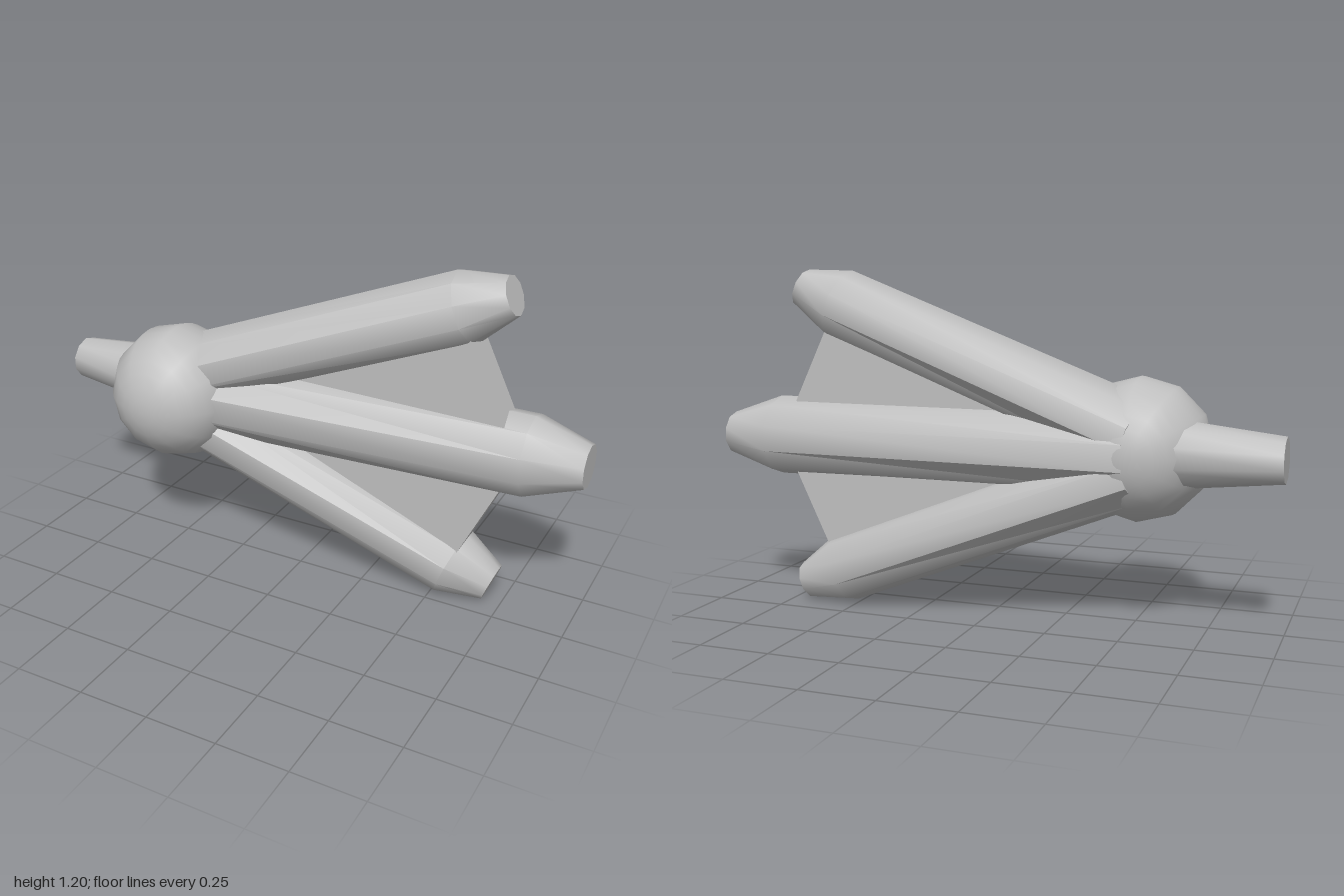
import * as THREE from 'three';
import { toCreasedNormals } from 'three/addons/utils/BufferGeometryUtils.js';

const MID = 0.603; // height of the symmetry plane

// Ten-sided tapered limb through stations [x, y, z, radiusInPlane, radiusZ], listed from base to tip
function limb(stations) {
  const n = stations.length - 1;
  const geo = new THREE.CylinderGeometry(1, 1, n, 10, n);
  const first = stations[0], last = stations[n];
  const dir = new THREE.Vector2(last[0] - first[0], last[1] - first[1]).normalize();
  const pos = geo.attributes.position;
  for (let i = 0; i < pos.count; i++) {
    const [x, y, z, r, rz] = stations[Math.round(pos.getY(i) + n / 2)];
    const up = pos.getZ(i) * r, side = pos.getX(i) * rz;
    pos.setXYZ(i, x - dir.y * up, y + dir.x * up, z + side);
  }
  return toCreasedNormals(geo, 0.7);
}

export function createModel() {
  const group = new THREE.Group();
  const grey = new THREE.MeshStandardMaterial({ color: 0xbfbfbf });
  grey.name = 'grey';
  const add = (name, geo) => {
    const mesh = new THREE.Mesh(geo, grey);
    mesh.name = name;
    group.add(mesh);
    return mesh;
  };

  // Round heel, poles along z
  const ball = add('heelBall', new THREE.SphereGeometry(0.247, 12, 16));
  ball.rotation.x = Math.PI / 2;
  ball.position.set(-0.507, MID, 0);

  // Short rear toe
  add('rearToe', limb([
    [-0.5, MID, -0.073, 0.132, 0.13],
    [-1, MID, -0.087, 0.077, 0.081],
  ].map((s) => s)));

  // Middle toe
  add('middleToe', limb([
    [-0.5, MID, -0.058, 0.145, 0.195],
    [0.81, MID, -0.103, 0.143, 0.141],
    [1, MID, -0.112, 0.077, 0.078],
  ]));

  // Outer toes and the webs joining them to the middle toe
  for (const s of [1, -1]) {
    const name = s > 0 ? 'upper' : 'lower';
    add(name + 'Toe', limb([
      [-0.5, MID + s * 0.062, -0.06, 0.125, 0.184],
      [0.56, MID + s * 0.478, -0.098, 0.125, 0.129],
      [0.705, MID + s * 0.535, -0.112, 0.068, 0.071],
    ]));

    const outline = new THREE.Shape([
      [-0.1, 0.02], [0.78, 0.02], [0.575, 0.447], [-0.1, 0.15],
    ].map(([x, y]) => new THREE.Vector2(x, MID + s * y)));
    const web = new THREE.ExtrudeGeometry(outline, { depth: 0.125, bevelEnabled: false });
    web.translate(0, 0, -0.145);
    add(name + 'Web', web);
  }
  return group;
}
